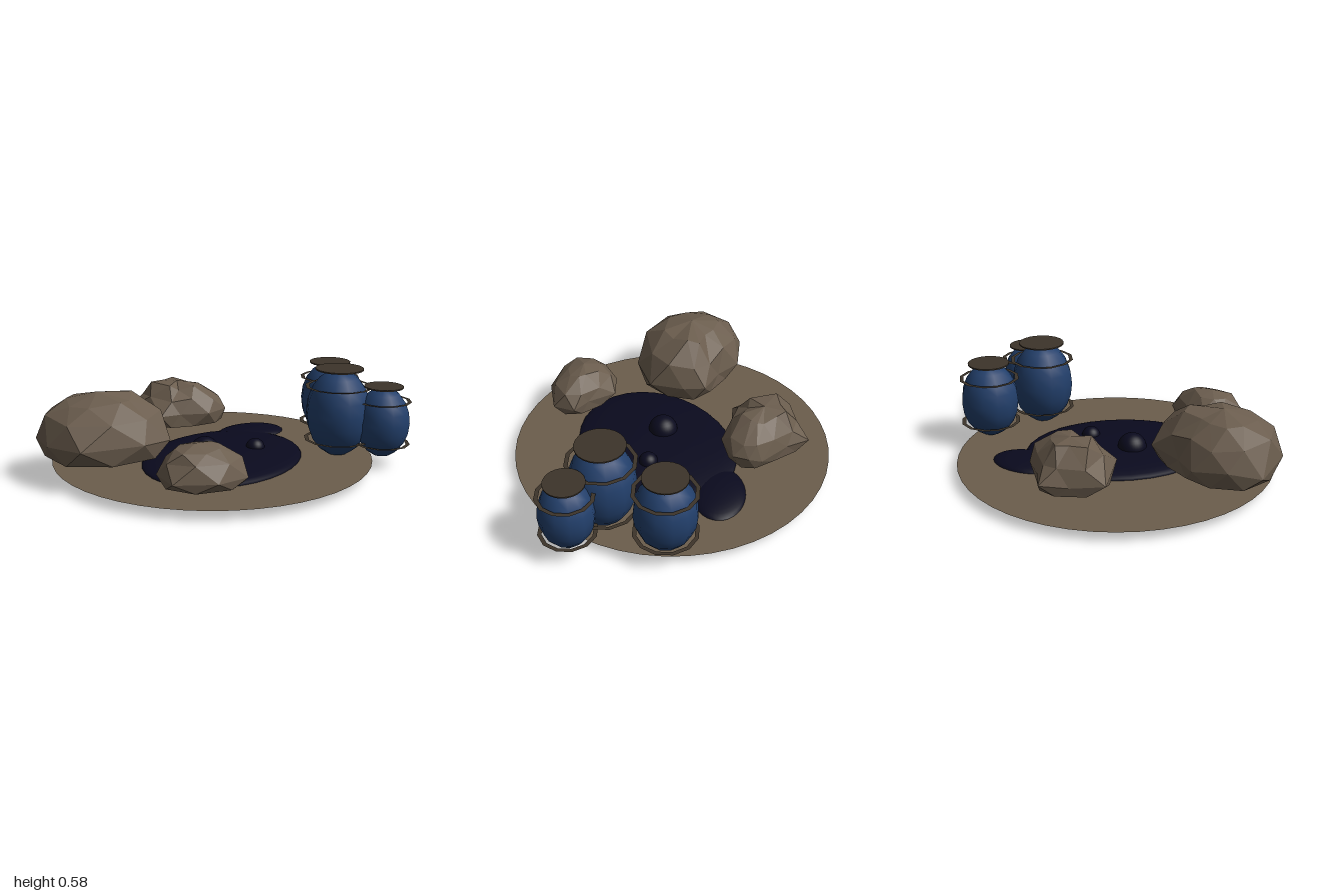
import * as THREE from 'three';

const mat = (name, color, extra = {}) => {
  const m = new THREE.MeshStandardMaterial({ color, ...extra });
  m.name = name;
  return m;
};

export function createModel() {
  const model = new THREE.Group();
  const sand = mat('sand', 0x6b5d4c, { side: THREE.DoubleSide });
  const stone = mat('stone', 0x6b5d4e, { flatShading: true });
  const tar = mat('tar', 0x0a0a1e);
  const glaze = mat('blueGlaze', 0x223f6b);
  const trim = mat('darkTrim', 0x3d342a, { side: THREE.DoubleSide });

  const add = (parent, name, geometry, material, x, y, z) => {
    const mesh = new THREE.Mesh(geometry, material);
    mesh.name = name;
    mesh.position.set(x, y, z);
    parent.add(mesh);
    return mesh;
  };

  // Flat patch of ground
  add(model, 'ground', new THREE.CircleGeometry(0.955, 48).rotateX(-Math.PI / 2), sand, -0.015, 0.058, -0.005);

  // Tar pool: two flattened lobes and two bubbles
  const blob = (name, x, y, z, sx, sy, sz, turn = 0) => {
    const mesh = add(model, name, new THREE.SphereGeometry(1, 32, 16), tar, x, y, z);
    mesh.scale.set(sx, sy, sz);
    mesh.rotation.y = turn;
  };
  blob('poolMain', -0.02, 0.057, 0.09, 0.57, 0.055, 0.447, 0.31);
  blob('poolLobe', 0.49, 0.055, -0.17, 0.225, 0.04, 0.155, -0.3);
  blob('bubbleLarge', -0.11, 0.105, 0.03, 0.088, 0.088, 0.088);
  blob('bubbleSmall', 0.165, 0.1, 0.18, 0.057, 0.057, 0.057);

  // Jars: egg-shaped body, two flat hoops and a thin lid
  const jar = (x, z, bottom, top, radius, hoop, lid) => {
    const g = new THREE.Group();
    g.name = 'jar';
    g.position.set(x, (bottom + top) / 2, z);
    const half = (top - bottom) / 2;
    add(g, 'jarBody', new THREE.SphereGeometry(1, 12, 10), glaze, 0, 0, 0).scale.set(radius, half, radius);
    for (const side of [-1, 1]) {
      const ring = new THREE.RingGeometry(hoop - 0.024, hoop, 12).rotateX(-Math.PI / 2);
      add(g, 'jarHoop', ring, trim, 0, side * half * 0.61, 0);
    }
    add(g, 'jarLid', new THREE.CylinderGeometry(lid, lid, 0.008, 24), trim, 0, half + 0.002, 0);
    model.add(g);
  };
  jar(0.535, 0.51, 0.05, 0.578, 0.195, 0.203, 0.142);
  jar(0.81, 0.215, 0.06, 0.53, 0.18, 0.187, 0.127);
  jar(0.68, 0.73, 0.06, 0.483, 0.16, 0.167, 0.115);

  // Rocks: staggered rings that follow a plan outline and close in a peak
  let seed = 7;
  const rand = () => (seed = (seed * 16807) % 2147483647) / 2147483647 - 0.5;
  const rock = (name, plan, bottom, top, px, pz) => {
    const n = plan.length;
    const height = top - bottom;
    const levels = [[0.95, 0], [1, 0.26], [0.87, 0.62], [0.5, 0.9]];
    const rings = levels.map(([scale, t], k) => plan.map((p, i) => {
      const q = k % 2 ? p : [0, 1].map((a) => (p[a] + plan[(i + 1) % n][a]) / 2);
      const s = scale + (k > 1 ? rand() * 0.12 : 0);
      const y = bottom + height * (t + (k ? rand() * 0.14 : 0));
      return [px + (q[0] - px) * s, Math.min(y, top), pz + (q[1] - pz) * s];
    }));
    const peak = [px, top, pz];
    const base = [px, bottom, pz];
    const pos = [];
    const tri = (...pts) => pts.forEach((p) => pos.push(...p));
    for (let i = 0; i < n; i++) {
      const j = (i + 1) % n;
      tri(base, rings[0][i], rings[0][j]);
      for (let k = 0; k < 3; k++) {
        const L = rings[k], U = rings[k + 1];
        if (k % 2 === 0) {
          // half-step ring below a whole-step ring
          tri(L[j], L[i], U[j]);
          tri(L[i], U[i], U[j]);
        } else {
          tri(L[j], L[i], U[i]);
          tri(L[j], U[i], U[j]);
        }
      }
      tri(rings[3][j], rings[3][i], peak);
    }
    const geometry = new THREE.BufferGeometry();
    geometry.setAttribute('position', new THREE.Float32BufferAttribute(pos, 3));
    geometry.computeVertexNormals();
    add(model, name, geometry, stone, 0, 0, 0);
  };
  rock('largeRock', [[-0.89, -0.57], [-0.7, -0.62], [-0.5, -0.55], [-0.42, -0.4], [-0.255, -0.27],
    [-0.29, -0.14], [-0.4, 0.05], [-0.62, 0.085], [-0.96, -0.05], [-1, -0.3]], 0.155, 0.51, -0.66, -0.28);
  rock('smallRock', [[-0.73, 0.3], [-0.6, 0.23], [-0.43, 0.27], [-0.37, 0.45], [-0.31, 0.55],
    [-0.4, 0.665], [-0.61, 0.655], [-0.785, 0.49]], 0.12, 0.345, -0.57, 0.44);
  rock('backRock', [[-0.06, -0.74], [0.14, -0.75], [0.305, -0.765], [0.34, -0.62], [0.42, -0.44],
    [0.42, -0.36], [0.37, -0.28], [0.2, -0.255], [0.05, -0.36], [-0.075, -0.4]], 0.137, 0.395, 0.17, -0.52);

  return model;
}
